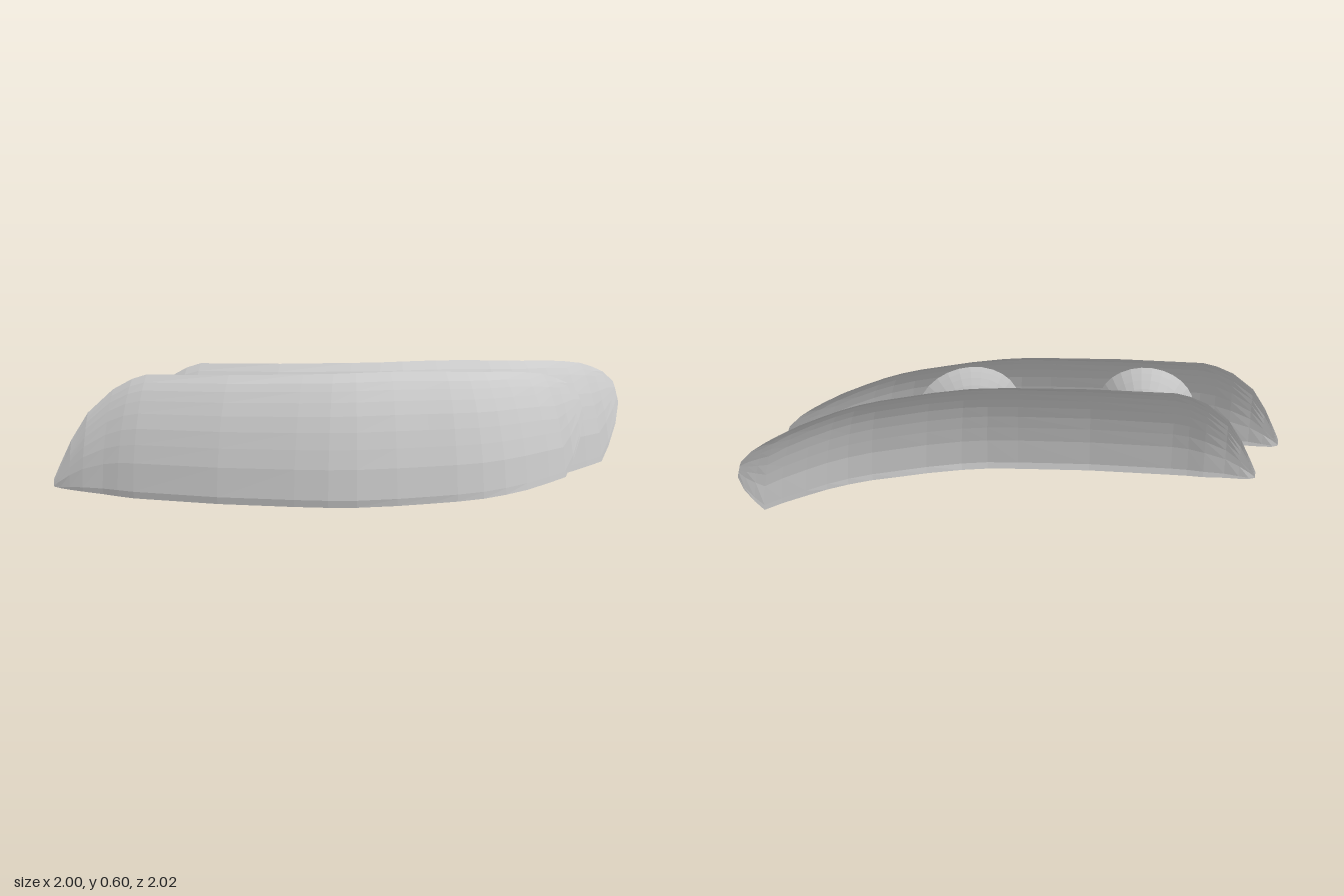
import * as THREE from 'three';

const grey = new THREE.MeshStandardMaterial({ color: 0xcccccc, side: THREE.DoubleSide, flatShading: true });
grey.name = 'light grey';

// Stations along the lens: base curve x, z, then lower and upper edge heights
const STATIONS = [
  [-1, 1, 0.02, 0.055], [-0.97, 0.99, 0.013, 0.13], [-0.92, 0.975, 0.01, 0.25], [-0.85, 0.955, 0.008, 0.38],
  [-0.75, 0.92, 0.004, 0.49], [-0.67, 0.9, 0.002, 0.54], [-0.59, 0.875, 0, 0.562], [-0.2, 0.72, 0.004, 0.575],
  [0.13, 0.56, 0.01, 0.588], [0.27, 0.485, 0.013, 0.593], [0.38, 0.41, 0.015, 0.597],
  [0.52, 0.29, 0.02, 0.6], [0.63, 0.18, 0.025, 0.598], [0.72, 0.09, 0.03, 0.595], [0.8, -0.01, 0.035, 0.59],
  [0.86, -0.11, 0.042, 0.585], [0.91, -0.22, 0.05, 0.58], [0.96, -0.35, 0.065, 0.567], [0.99, -0.45, 0.075, 0.55],
  [1.01, -0.5, 0.15, 0.53], [1.03, -0.56, 0.25, 0.5], [1.045, -0.6, 0.35, 0.45],
];
const ROWS = [0, 0.06, 0.3, 0.45, 0.58, 0.7, 0.8, 0.88, 0.94, 1];

// Vertical section: height, distance set back from the base curve
const SECTION = [[0, 0.008], [0.05, 0], [0.2, 0.022], [0.33, 0.06], [0.42, 0.097], [0.5, 0.142], [0.56, 0.19], [0.6, 0.25]];

function setback(y) {
  let i = 1;
  while (i < SECTION.length - 1 && SECTION[i][0] < y) i++;
  const [y0, d0] = SECTION[i - 1], [y1, d1] = SECTION[i];
  return d0 + (d1 - d0) * (y - y0) / (y1 - y0);
}

// Curved lens skin, swept along the stations
function shellGeometry() {
  const positions = [], index = [], n = ROWS.length;
  STATIONS.forEach(([x, z, low, high], i) => {
    const a = STATIONS[Math.max(i - 1, 0)];
    const b = STATIONS[Math.min(i + 1, STATIONS.length - 1)];
    const tx = b[0] - a[0], tz = b[1] - a[1], len = Math.hypot(tx, tz);
    ROWS.forEach((t, j) => {
      const y = low + (high - low) * t;
      // the pointed end stays on the base curve
      const d = i === 0 ? 0 : setback(y);
      positions.push(x + tz / len * d, y, z - tx / len * d);
      if (i && j) {
        const q = i * n + j, p = q - n;
        index.push(p - 1, q - 1, q, p - 1, q, p);
      }
    });
  });
  const g = new THREE.BufferGeometry();
  g.setAttribute('position', new THREE.Float32BufferAttribute(positions, 3));
  g.setIndex(index);
  g.computeVertexNormals();
  return g;
}

// Shallow bowl opening along the given direction
function reflector(name, centre, direction, radius, depth) {
  const profile = [];
  for (let i = 0; i <= 8; i++) {
    const r = Math.sin(i / 8 * Math.PI / 2);
    profile.push(new THREE.Vector2(radius * r, depth * (r * r - 1)));
  }
  const bowl = new THREE.Mesh(new THREE.LatheGeometry(profile, 28), grey);
  bowl.name = name;
  bowl.position.set(...centre);
  bowl.quaternion.setFromUnitVectors(new THREE.Vector3(0, 1, 0), new THREE.Vector3(...direction).normalize());
  return bowl;
}

export function createModel() {
  const model = new THREE.Group();
  model.name = 'headlight';
  const skin = shellGeometry();

  const lens = new THREE.Mesh(skin, grey);
  lens.name = 'frontLens';
  const housing = new THREE.Mesh(skin, grey);
  housing.name = 'rearHousing';
  housing.position.z = -0.38;

  model.add(
    lens, housing,
    reflector('outerReflector', [-0.37, 0.265, 0.665], [0.33, 0.2, 0.92], 0.25, 0.165),
    reflector('innerReflector', [0.425, 0.275, 0.2], [0.6, 0.18, 0.78], 0.27, 0.1),
  );
  return model;
}
